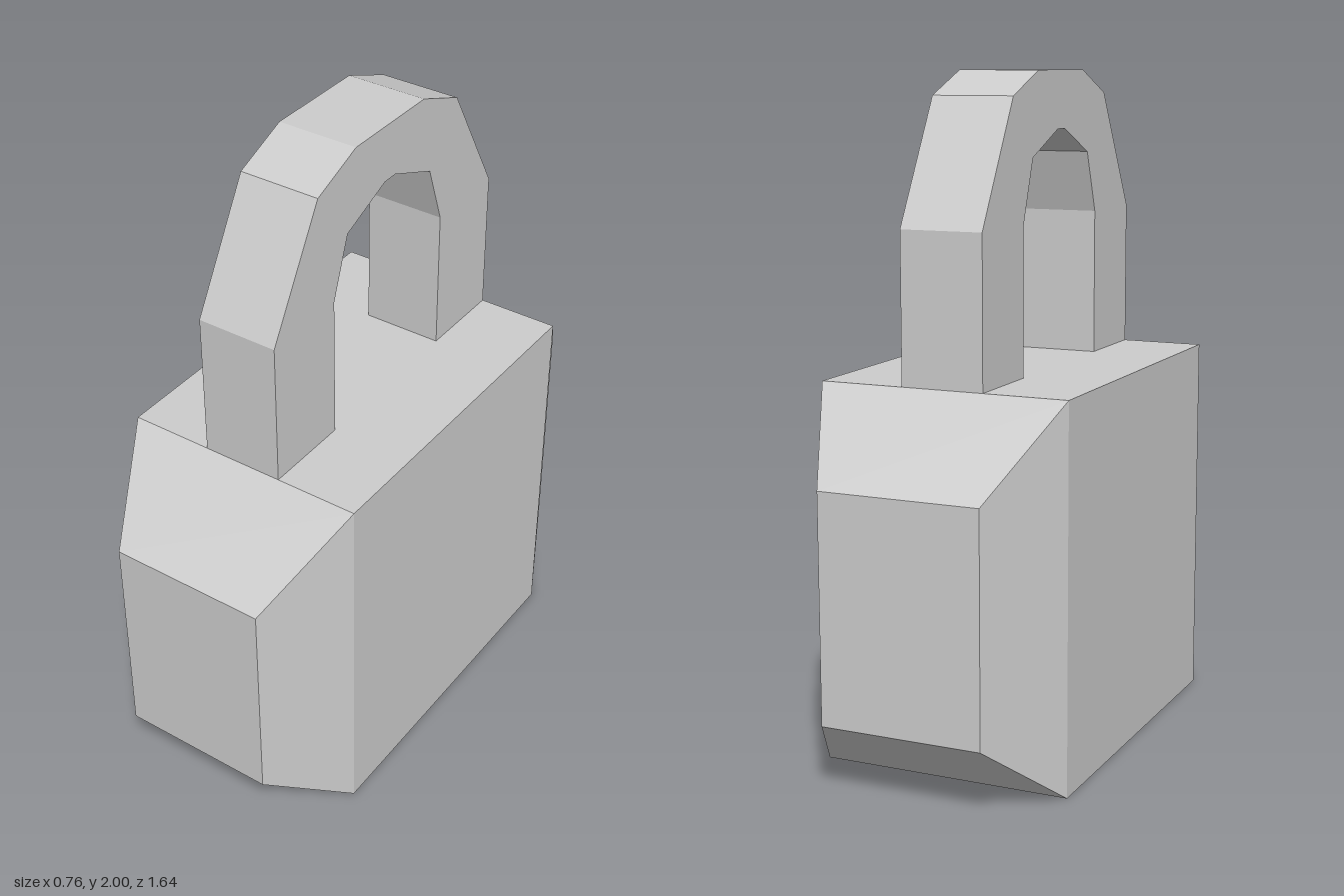
import * as THREE from 'three';

const material = new THREE.MeshStandardMaterial({ color: 0xcccccc, flatShading: true });

// Block whose front and back ends taper to a smaller rectangle
function createBody() {
  const height = 1.13, halfDepth = 0.82, shoulder = 0.545;
  const geometry = new THREE.BoxGeometry(0.76, height, 2 * halfDepth, 1, 1, 3);
  geometry.translate(0, height / 2, 0);
  const p = geometry.attributes.position;
  for (let i = 0; i < p.count; i++) {
    const z = p.getZ(i);
    if (Math.abs(z) > 0.8) {
      p.setX(i, Math.sign(p.getX(i)) * 0.243);
      p.setY(i, p.getY(i) > height / 2 ? 0.88 : 0.21);
    } else {
      p.setZ(i, Math.sign(z) * shoulder);
    }
  }
  geometry.computeVertexNormals();
  const body = new THREE.Mesh(geometry, material);
  body.name = 'lockBody';
  return body;
}

// Faceted arch, drawn as one half and mirrored, then extruded across x
function createShackle() {
  const outer = [[0.545, 1.13], [0.545, 1.57], [0.34, 1.93], [0.165, 2]];
  const inner = [[0.27, 1.13], [0.27, 1.57], [0.205, 1.755], [0.025, 1.83]];
  const mirror = (points) => points.map(([z, y]) => [-z, y]).reverse();
  const outline = [...outer, ...mirror(outer), ...mirror(inner).reverse(), ...inner.slice().reverse()];
  const shape = new THREE.Shape(outline.map(([z, y]) => new THREE.Vector2(z, y)));
  const width = 0.25;
  const geometry = new THREE.ExtrudeGeometry(shape, { depth: width, bevelEnabled: false });
  geometry.translate(0, 0, -width / 2);
  geometry.rotateY(-Math.PI / 2);
  const shackle = new THREE.Mesh(geometry, material);
  shackle.name = 'shackle';
  return shackle;
}

export function createModel() {
  const model = new THREE.Group();
  model.name = 'padlock';
  model.add(createBody(), createShackle());
  return model;
}
